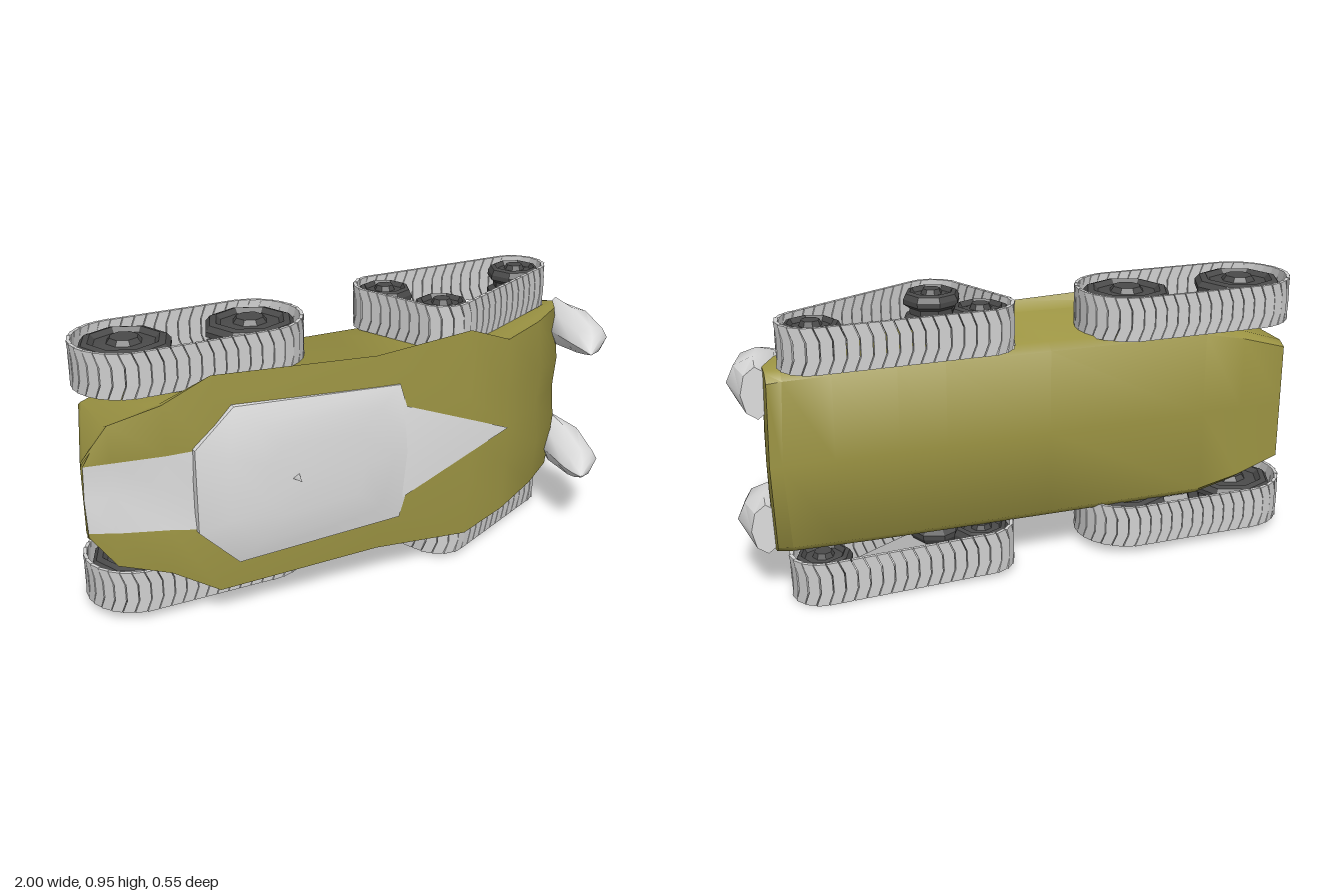
import * as THREE from 'three';
import { mergeGeometries, toCreasedNormals } from 'three/addons/utils/BufferGeometryUtils.js';

const MID = 0.4825; // plane of symmetry, across y

const paint = (name, color) => {
  const m = new THREE.MeshStandardMaterial({ color });
  m.name = name;
  return m;
};

function part(name, geometry, material, parent) {
  const mesh = new THREE.Mesh(geometry, material);
  mesh.name = name;
  parent.add(mesh);
  return mesh;
}

function meshFrom(points, index, crease) {
  const g = new THREE.BufferGeometry();
  g.setAttribute('position', new THREE.Float32BufferAttribute(points.flat(), 3));
  g.setIndex(index);
  return toCreasedNormals(g, crease);
}

// Hull cross-sections from nose to tail:
// x centre, x edge, flare half width, lower half width, hood half width,
// z of flare, z of crown, hood dip, z of floor
const STATIONS = [
  [-1.0, -1.0, 0.125, 0.13, 0.115, 0.07, 0.07, 0.0, 0.06],
  [-0.915, -0.915, 0.245, 0.23, 0.122, 0.09, 0.10, 0.02, -0.215],
  [-0.75, -0.75, 0.295, 0.285, 0.13, 0.13, 0.145, 0.025, -0.223],
  [-0.6, -0.6, 0.38, 0.32, 0.145, 0.17, 0.185, 0.01, -0.222],
  [-0.03, -0.03, 0.355, 0.32, 0.15, 0.2, 0.218, 0, -0.208],
  [0.33, 0.33, 0.385, 0.32, 0.15, 0.205, 0.218, 0, -0.2],
  [0.49, 0.49, 0.325, 0.32, 0.14, 0.2, 0.21, 0, -0.195],
  [0.7, 0.7, 0.32, 0.318, 0.14, 0.08, 0.11, 0.02, -0.19],
  [0.87, 0.85, 0.318, 0.315, 0.12, -0.03, -0.02, 0.02, -0.185],
  [0.91, 0.9, 0.315, 0.31, 0.1, -0.11, -0.12, 0, -0.18],
];

function hullGeometry() {
  const points = [], hull = [], trim = [], n = 12;
  for (const [xc, xe, wT, wB, wH, ze, zc, dip, zb] of STATIONS) {
    const half = [[0, zc - dip], [wH, zc], [wT, ze], [wB, Math.max(ze - 0.035, ze * 0.75 + zb * 0.25)],
      [wB - 0.005, zb + 0.03], [wB * 0.9, zb], [0, zb]];
    const ring = [...half, ...half.slice(1, 6).reverse().map(([w, z]) => [-w, z])];
    for (const [w, z] of ring) points.push([xc + (xe - xc) * (w / wT) ** 2, MID + w, z]);
  }
  for (let i = 0; i < STATIONS.length - 1; i++) {
    for (let j = 0; j < n; j++) {
      const a = i * n + j, b = i * n + (j + 1) % n, c = a + n, d = b + n;
      const hood = i < 3 && (j === 0 || j === n - 1);
      if (hood) trim.push(a, c, b, c, d, b);
      else if (i === 0 && j === 5) { // the two halves of the triangle under the nose
        trim.push(a, d, b);
        hull.push(a, c, d);
      } else if (i === 0 && j === 6) {
        trim.push(a, c, b);
        hull.push(c, d, b);
      } else hull.push(a, c, b, c, d, b);
    }
  }
  const last = (STATIONS.length - 1) * n;
  for (let j = 1; j < n - 1; j++) hull.push(0, j, j + 1, last, last + j + 1, last + j);
  const g = meshFrom(points, [...hull, ...trim], 0.85);
  g.addGroup(0, hull.length, 0);
  g.addGroup(hull.length, trim.length, 1);
  return g;
}

// Stacked rings closed by a point; rings run counter-clockwise about the growth direction
function stackGeometry(rings, tip, crease, closeBase) {
  const n = rings[0].length, points = [...rings.flat(), tip], index = [];
  for (let i = 0; i < rings.length; i++) {
    for (let j = 0; j < n; j++) {
      const a = i * n + j, b = i * n + (j + 1) % n;
      if (i === rings.length - 1) index.push(a, b, points.length - 1);
      else index.push(a, b, b + n, a, b + n, a + n);
    }
  }
  if (closeBase) for (let j = 1; j < n - 1; j++) index.push(0, j + 1, j);
  return meshFrom(points, index, crease);
}

// Low dome: the rings shrink towards the middle while z blends to the roof height
function canopyGeometry() {
  const rim = [[-0.67, -0.145, 0.185], [-0.54, -0.275, 0.2], [0.05, -0.245, 0.216], [0.12, 0, 0.227],
    [0.05, 0.245, 0.216], [-0.54, 0.275, 0.2], [-0.67, 0.145, 0.185]];
  const ring = (s, blend, drop = 0) => rim.map(([x, w, z]) =>
    [-0.26 + (x + 0.26) * s, MID + w * s, z + (0.238 - z) * blend - drop]);
  return stackGeometry([ring(1, 0, 0.03), ring(1, 0), ring(0.75, 0.65), ring(0.45, 0.95)], [-0.26, MID, 0.239], 0.6);
}

// Horn-like tail fin with an oval section
function finGeometry(side) {
  const sections = [[0.925, 0.234, -0.125, 0.05, 0.087], [0.91, 0.239, 0.0, 0.09, 0.078],
    [0.872, 0.244, 0.16, 0.078, 0.052], [0.835, 0.243, 0.22, 0.045, 0.03]];
  const rings = sections.map(([x, w, z, rx, rw]) => Array.from({ length: 8 }, (_, k) => {
    const a = k * Math.PI / 4;
    return [x + rx * Math.cos(a), MID + side * w + rw * Math.sin(a), z];
  }));
  return stackGeometry(rings, [0.79, MID + side * 0.238, 0.275], 0.9, true);
}

// One chevron track plate: length along x, width along y
function linkGeometry() {
  const lead = [[0.018, -0.075], [0, -0.03], [0, 0.03], [0.018, 0.075]];
  const outline = [...lead.map(([s, y]) => [s + 0.019, y]), ...lead.reverse().map(([s, y]) => [s - 0.019, y])];
  const shape = new THREE.Shape(outline.map(([s, y]) => new THREE.Vector2(s - 0.007, y)));
  return new THREE.ExtrudeGeometry(shape, { depth: 0.012, bevelEnabled: false });
}

// Plates spaced along a belt wrapped round equal wheels
function trackGeometry(centres, r, count) {
  const path = new THREE.Path(), n = centres.length;
  const heading = (a, b) => Math.atan2(-(b[0] - a[0]), b[1] - a[1]);
  centres.forEach((c, i) => {
    const a0 = heading(centres[(i + n - 1) % n], c);
    let a1 = heading(c, centres[(i + 1) % n]);
    while (a1 <= a0) a1 += Math.PI * 2;
    path.absarc(c[0], c[1], r, a0, a1, false);
  });
  path.closePath();
  const link = linkGeometry(), up = new THREE.Vector3(0, 1, 0);
  return mergeGeometries(Array.from({ length: count }, (_, k) => {
    const p = path.getPoint(k / count), t = path.getTangent(k / count);
    const along = new THREE.Vector3(t.x, 0, t.y);
    const m = new THREE.Matrix4().makeBasis(along, up, new THREE.Vector3().crossVectors(along, up));
    return link.clone().applyMatrix4(m.setPosition(p.x, 0, p.y));
  }));
}

// Grooved eight-sided wheel with a raised hub on both faces, axis along y
function wheelGeometry(r) {
  const half = [[0, 0.072], [0.3, 0.072], [0.38, 0.055], [0.66, 0.05], [0.76, 0.066], [0.9, 0.06],
    [1, 0.042], [1, 0.025], [0.78, 0.01]];
  const outer = half.map(([k, y]) => new THREE.Vector2(k * r, y));
  const profile = [...outer.map((p) => new THREE.Vector2(p.x, -p.y)), ...outer.reverse()];
  return toCreasedNormals(new THREE.LatheGeometry(profile, 8), 0.3);
}

export function createModel() {
  const model = new THREE.Group();
  model.name = 'trackedVehicle';
  const olive = paint('olive', 0x9c9443);
  const silver = paint('silver', 0xdedede);
  const plate = paint('trackGrey', 0xd0d0d0);
  const rubber = paint('darkGrey', 0x4a4a4a);

  // Body, canopy and trim
  part('hullAndHood', hullGeometry(), [olive, silver], model);
  part('canopy', canopyGeometry(), silver, model);
  const spikeBase = [[0.06, MID + 0.17, 0.222], [0.06, MID - 0.17, 0.222], [0.49, MID, 0.217]];
  part('deckSpike', stackGeometry([spikeBase], [0.08, MID, 0.238], 0.9), silver, model);
  const stud = part('canopyStud', new THREE.ConeGeometry(0.02, 0.05, 3), silver, model);
  stud.rotation.set(Math.PI / 2, Math.PI / 6, 0);
  stud.position.set(-0.345, MID + 0.003, 0.25);
  for (const side of [1, -1]) part(side > 0 ? 'upperTailFin' : 'lowerTailFin', finGeometry(side), silver, model);

  // Track units: two large wheels at the nose, three small ones at the tail;
  // each is placed above and below the hull as [x, y, z, tilt]
  const units = [
    { name: 'noseTrack', centres: [[-0.785, -0.1], [-0.355, -0.095]], wheel: 0.158, belt: 0.177, links: 48,
      places: [[0.005, 0.865, 0, 0], [-0.008, 0.108, 0, 0]] },
    { name: 'tailTrack', centres: [[0.2, -0.165], [0.75, -0.16], [0.295, 0.065]], wheel: 0.098, belt: 0.109, links: 48,
      places: [[0, 0.876, 0, 0], [0, 0.099, 0.012, -0.024]] },
  ];
  for (const u of units) {
    const belt = trackGeometry(u.centres, u.belt, u.links), wheel = wheelGeometry(u.wheel);
    u.places.forEach(([x, y, z, tilt], i) => {
      const g = new THREE.Group();
      g.name = (i ? 'lower ' : 'upper ') + u.name;
      g.position.set(x, y, z);
      g.rotation.z = tilt;
      part('trackLinks', belt, plate, g);
      for (const [cx, cz] of u.centres) part('wheel', wheel, rubber, g).position.set(cx, 0, cz);
      model.add(g);
    });
  }
  return model;
}
